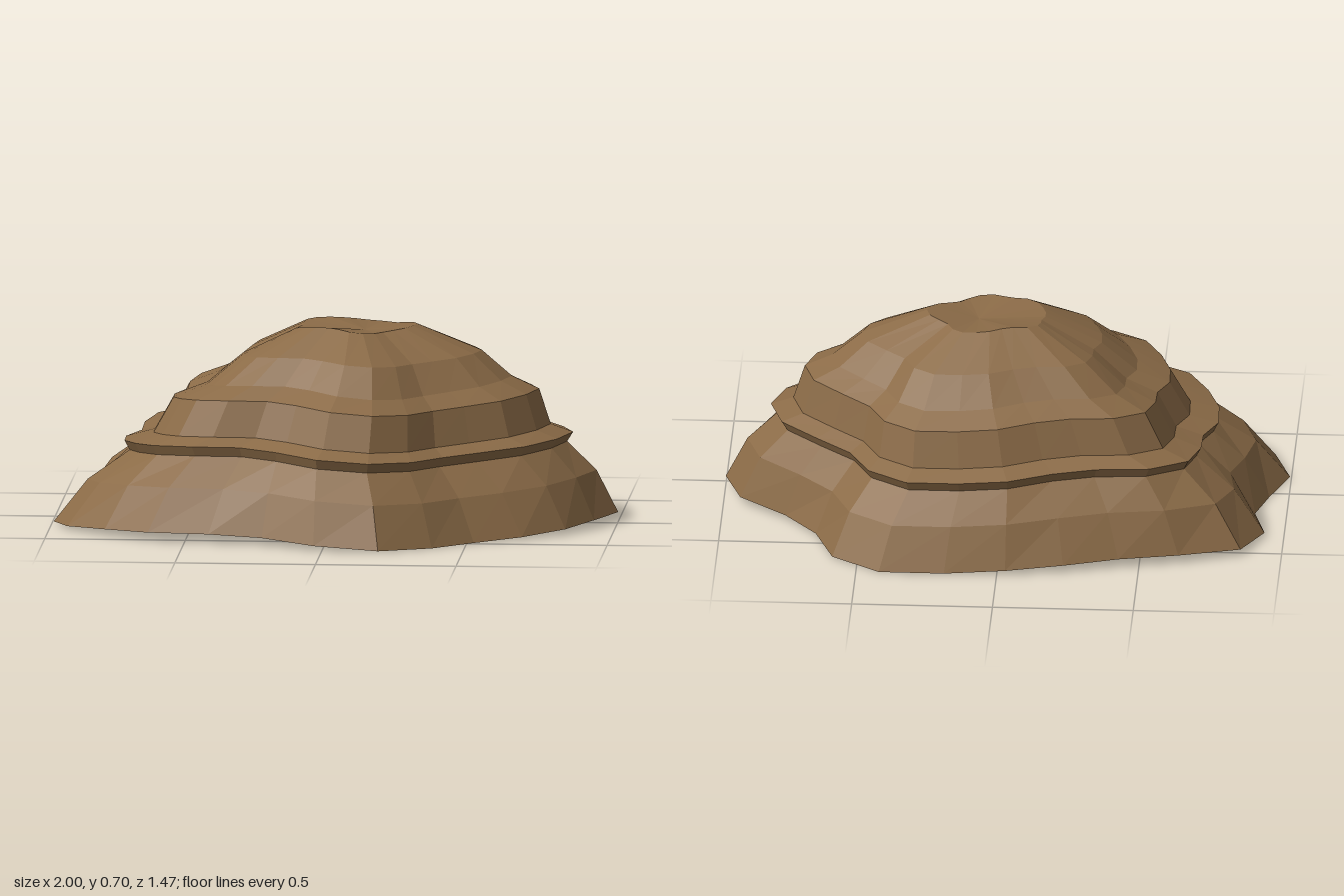
import * as THREE from 'three';

// Radii of the foot and of the ledge, at equal angles from +x towards +z
const FOOT = [1.03, 0.98, 0.96, 0.92, 0.89, 0.955, 1.04, 0.97, 0.86, 0.885, 0.965, 0.975, 1.005, 0.99,
  0.9, 0.88, 1.0, 1.055, 0.975, 0.915, 0.915, 0.935, 0.975, 1.035, 0.995, 0.88, 0.89, 0.995];
const LEDGE = [0.87, 0.845, 0.8, 0.725, 0.7, 0.77, 0.83, 0.795, 0.685, 0.655, 0.73, 0.765, 0.745, 0.735,
  0.72, 0.69, 0.745, 0.81, 0.8, 0.72, 0.71, 0.76, 0.785, 0.83, 0.8, 0.73, 0.77, 0.845];
const N = FOOT.length;
const DEPTH = 0.75;
const CENTRE = -0.03;

// One closed contour: mix blends ledge (0) to foot (1), shift slides it along x
function contour({ y, scale = 1, mix = 0, shift = 0, wobble = 0.017 }) {
  return FOOT.map((foot, i) => {
    const a = (i / N) * Math.PI * 2;
    const r = scale * THREE.MathUtils.lerp(LEDGE[i], foot, mix);
    return new THREE.Vector3(
      CENTRE + shift + r * Math.cos(a),
      y + wobble * Math.cos(3 * a),
      CENTRE + DEPTH * r * Math.sin(a));
  });
}

// Skin a stack of contours from bottom to top, optionally closed by a centre point
function skin(rings, tip) {
  const points = rings.flat();
  const index = [];
  for (let k = 0; k < rings.length - 1; k++) {
    for (let i = 0; i < N; i++) {
      const j = (i + 1) % N;
      const a = k * N + i, b = k * N + j, c = a + N, d = b + N;
      index.push(a, c, b, b, c, d);
    }
  }
  if (tip) {
    const base = (rings.length - 1) * N;
    for (let i = 0; i < N; i++) index.push(base + i, points.length, base + (i + 1) % N);
    points.push(tip);
  }
  const geometry = new THREE.BufferGeometry().setFromPoints(points);
  geometry.setIndex(index);
  const flat = geometry.toNonIndexed();
  flat.computeVertexNormals();
  return flat;
}

export function createModel() {
  const group = new THREE.Group();
  group.name = 'terracedMound';
  const earth = new THREE.MeshStandardMaterial({ color: 0x8b6b47 });
  earth.name = 'earthBrown';
  earth.flatShading = true;
  earth.side = THREE.DoubleSide;

  const foot = contour({ y: 0.019, mix: 1 });
  const flank = contour({ y: 0.17, mix: 0.52 });
  const underLedge = contour({ y: 0.272, scale: 0.975 });
  const ledgeRim = contour({ y: 0.306 });
  const ledgeInner = contour({ y: 0.334, scale: 0.885, shift: 0.02 });
  const terrace = contour({ y: 0.46, scale: 0.815, shift: 0.04 });
  const shoulder = contour({ y: 0.505, scale: 0.68, shift: 0.06 });
  const upper = contour({ y: 0.603, scale: 0.535, shift: 0.08, wobble: 0.01 });
  const crown = contour({ y: 0.697, scale: 0.265, shift: 0.085, wobble: 0.008 });

  const add = (name, rings, tip) => {
    const mesh = new THREE.Mesh(skin(rings, tip), earth);
    mesh.name = name;
    group.add(mesh);
  };
  // Hollow shell, open underneath
  add('lowerSlope', [foot, flank, underLedge]);
  add('ledge', [underLedge, ledgeRim, ledgeInner]);
  add('terraceWall', [ledgeInner, terrace]);
  add('dome', [terrace, shoulder, upper, crown]);
  add('summit', [crown], new THREE.Vector3(0.1, 0.68, -0.04));
  return group;
}
